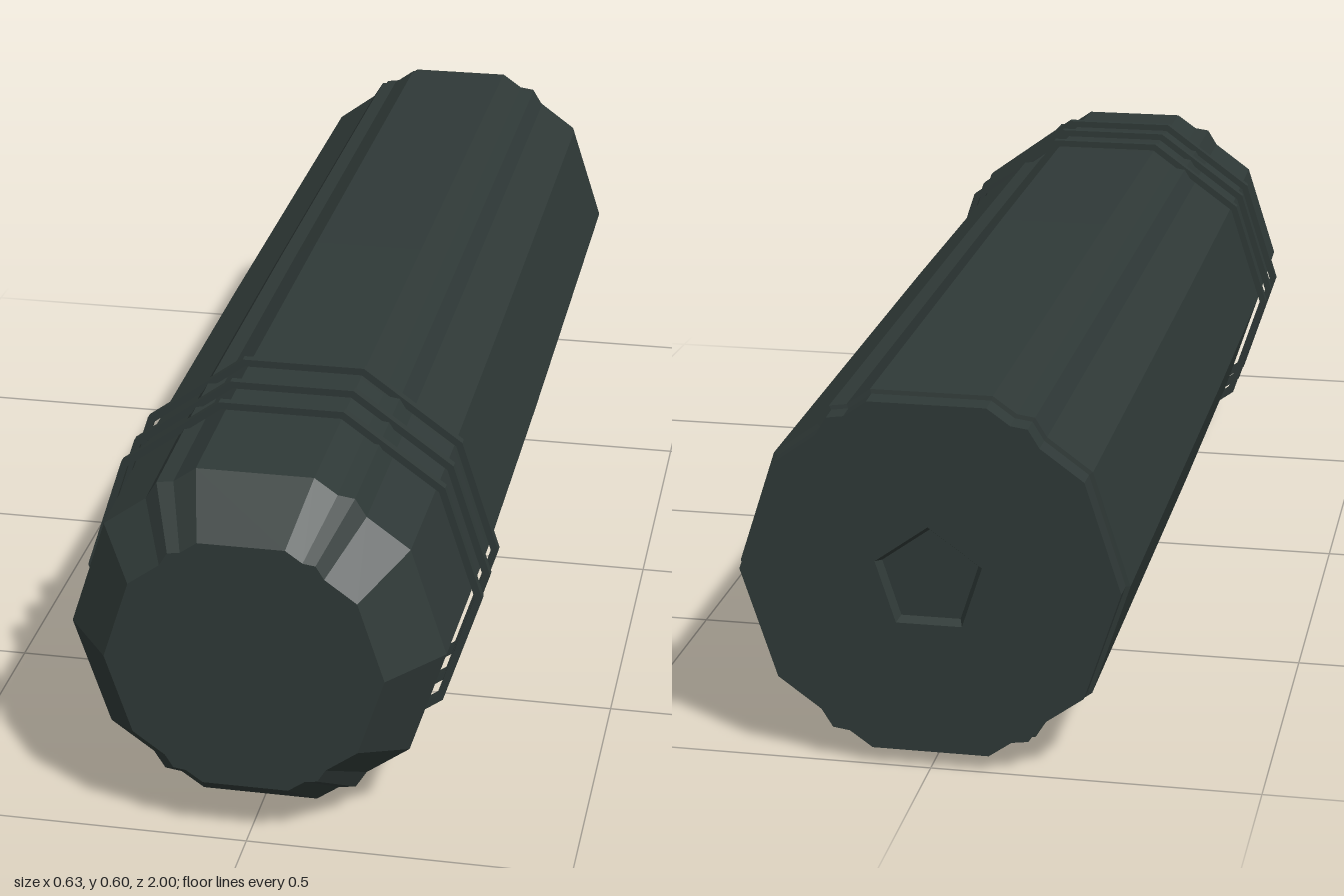
import * as THREE from 'three';

const CENTER_Y = 0.302;

// Regular polygon outline, counter-clockwise
function polygon(sides, radius, start = 0) {
  return Array.from({ length: sides }, (_, i) => {
    const a = start + (i / sides) * Math.PI * 2;
    return new THREE.Vector2(Math.cos(a) * radius, Math.sin(a) * radius);
  });
}

// Ten-sided unit outline with a small ridge on each diagonal face
function ridgedOutline() {
  const q = [[1, 0], [0.809, 0.588], [0.58, 0.755], [0.52, 0.852], [0.43, 0.865], [0.309, 0.951]];
  const flip = (list, sx, sy) => list.map(([x, y]) => [x * sx, y * sy]);
  const back = [...q].reverse();
  return [
    ...q,
    ...flip(back, -1, 1),
    ...flip(q.slice(1), -1, -1),
    ...flip(back.slice(0, -1), 1, -1),
  ].map(([x, y]) => new THREE.Vector2(x, y));
}

// Skin an outline through [z, scale] layers running front to back
function loft(outline, layers) {
  const pos = [];
  const point = (l, i) => {
    const p = outline[i % outline.length];
    return [p.x * l[1], p.y * l[1], l[0]];
  };
  for (let k = 0; k < layers.length - 1; k++) {
    for (let i = 0; i < outline.length; i++) {
      const a = point(layers[k], i), b = point(layers[k], i + 1);
      const c = point(layers[k + 1], i + 1), d = point(layers[k + 1], i);
      pos.push(...a, ...d, ...c, ...a, ...c, ...b);
    }
  }
  const g = new THREE.BufferGeometry();
  g.setAttribute('position', new THREE.Float32BufferAttribute(pos, 3));
  g.computeVertexNormals();
  return g;
}

export function createModel() {
  const model = new THREE.Group();
  const darkMetal = new THREE.MeshStandardMaterial({ color: 0x2f3937 });
  darkMetal.name = 'darkMetal';
  darkMetal.flatShading = true;

  const add = (name, geometry, z = 0) => {
    const mesh = new THREE.Mesh(geometry, darkMetal);
    mesh.name = name;
    mesh.position.set(0, CENTER_Y, z);
    model.add(mesh);
    return mesh;
  };

  const outline = ridgedOutline();
  const scaled = (s) => outline.map((p) => p.clone().multiplyScalar(s));

  // Main tube: bevelled nose, long barrel, narrower rear collar
  add('body', loft(outline, [
    [1, 0.214], [0.9, 0.29], [0.55, 0.298], [0, 0.299],
    [-0.965, 0.296], [-0.966, 0.289], [-1, 0.288],
  ]));
  add('frontCap', new THREE.ShapeGeometry(new THREE.Shape(scaled(0.214))), 1);

  // Rear cap with a shallow five-sided recess
  const pentagon = polygon(5, 0.085, Math.PI / 2);
  const rear = new THREE.Shape(scaled(0.288));
  rear.holes.push(new THREE.Path(pentagon));
  add('rearCap', new THREE.ShapeGeometry(rear).rotateY(Math.PI), -1);
  add('recessWall', loft([...pentagon].reverse(), [[-0.985, 0.9], [-1, 1]]));
  const floor = new THREE.Shape(polygon(5, 0.0765, Math.PI / 2));
  add('recessFloor', new THREE.ShapeGeometry(floor).rotateY(Math.PI), -0.985);

  // Three thin bands around the nose
  const band = new THREE.Shape(polygon(10, 0.316));
  band.holes.push(new THREE.Path(polygon(10, 0.304)));
  const bandGeometry = new THREE.ExtrudeGeometry(band, { depth: 0.014, bevelEnabled: false });
  for (const z of [0.704, 0.625, 0.539]) add('band', bandGeometry, z);

  return model;
}
